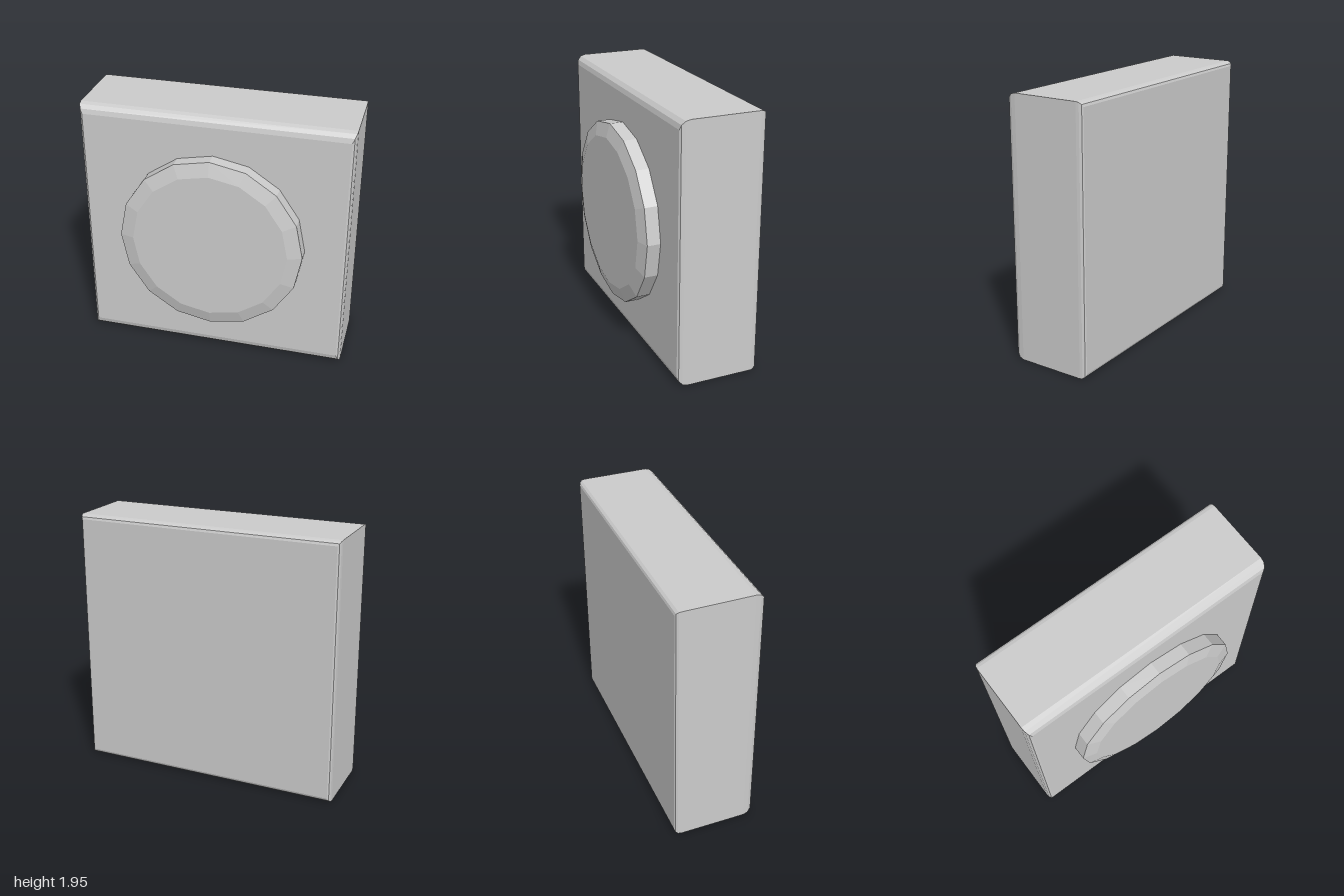
import * as THREE from 'three';

const HEIGHT = 1.945, CENTER_Y = HEIGHT / 2;
const BACK = -0.375, FRONT = 0.245;
const STEPS = 3; // facets per rounded edge

// Block with rounded rims: rectangular loops stacked from back to front.
function blockGeometry() {
  const loops = [];
  const addLoop = (insetX, insetY, z) => {
    const w = 1 - insetX, h = CENTER_Y - insetY;
    loops.push([[-w, -h, z], [w, -h, z], [w, h, z], [-w, h, z]]);
  };
  for (let i = 0; i <= STEPS; i++) {
    const a = (i / STEPS) * Math.PI / 2;
    addLoop(0.025 * (1 - Math.sin(a)), 0.035 * (1 - Math.sin(a)), BACK + 0.045 * (1 - Math.cos(a)));
  }
  for (let i = 0; i <= STEPS; i++) {
    const a = (i / STEPS) * Math.PI / 2;
    addLoop(0.03 * (1 - Math.cos(a)), 0.07 * (1 - Math.cos(a)), FRONT - 0.07 * (1 - Math.sin(a)));
  }

  const positions = [];
  const quad = (a, b, c, d) => positions.push(...a, ...b, ...c, ...a, ...c, ...d);
  for (let i = 0; i < loops.length - 1; i++) {
    for (let k = 0; k < 4; k++) {
      const n = (k + 1) % 4;
      quad(loops[i][k], loops[i][n], loops[i + 1][n], loops[i + 1][k]);
    }
  }
  quad(...loops[loops.length - 1]);
  quad(...[...loops[0]].reverse());

  const geometry = new THREE.BufferGeometry();
  geometry.setAttribute('position', new THREE.Float32BufferAttribute(positions, 3));
  geometry.computeVertexNormals();
  return geometry;
}

// Sixteen-sided button with a shallow chamfer, turned to face the front.
function buttonGeometry() {
  const profile = [[0.688, FRONT - 0.005], [0.688, 0.345], [0.583, 0.375], [0, 0.375]]
    .map(([r, z]) => new THREE.Vector2(r, z));
  return new THREE.LatheGeometry(profile, 16).rotateX(Math.PI / 2);
}

export function createModel() {
  const group = new THREE.Group();
  group.name = 'wallButton';
  const material = new THREE.MeshStandardMaterial({ color: 0xcccccc, flatShading: true });

  const addPart = (name, geometry) => {
    const mesh = new THREE.Mesh(geometry, material);
    mesh.name = name;
    mesh.position.y = CENTER_Y;
    group.add(mesh);
  };
  addPart('block', blockGeometry());
  addPart('button', buttonGeometry());
  return group;
}
